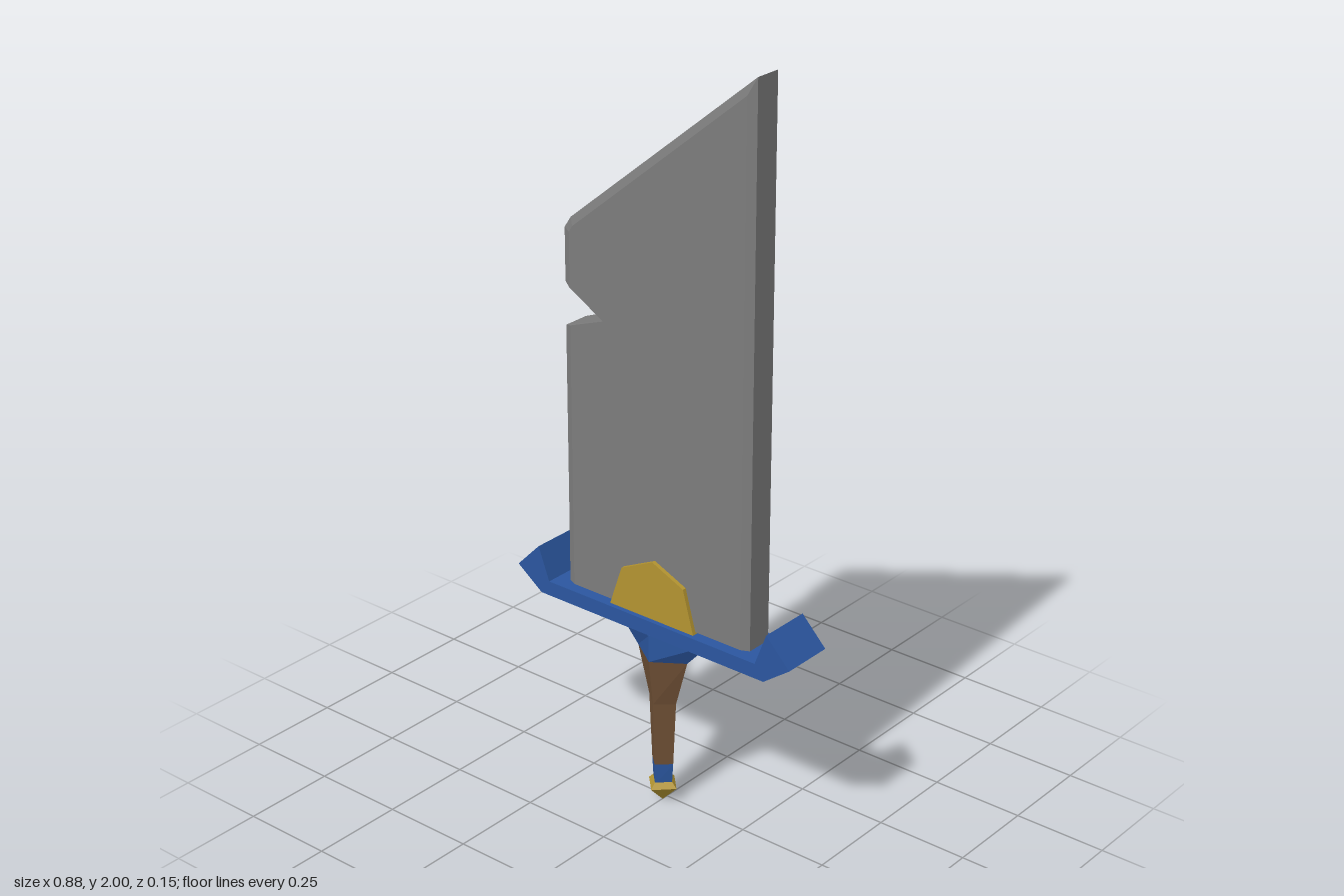
import * as THREE from 'three';

const paint = (name, color) => Object.assign(new THREE.MeshStandardMaterial({ color }), { name });

// Joins matching 2D outlines (counter-clockwise) stacked along z; flat facets, capped ends.
function loft(rings) {
  const pos = [];
  const put = (r, i) => {
    const p = r.points[i % r.points.length];
    pos.push(p[0], p[1], r.h);
  };
  for (let k = 0; k < rings.length - 1; k++) {
    const a = rings[k], b = rings[k + 1];
    for (let i = 0; i < a.points.length; i++) {
      put(a, i); put(a, i + 1); put(b, i + 1);
      put(a, i); put(b, i + 1); put(b, i);
    }
  }
  const cap = (r, flip) => {
    const contour = r.points.map(([x, y]) => new THREE.Vector2(x, y));
    for (const f of THREE.ShapeUtils.triangulateShape(contour, [])) {
      for (const i of flip ? [f[0], f[2], f[1]] : f) put(r, i);
    }
  };
  cap(rings[0], true);
  cap(rings[rings.length - 1], false);
  const g = new THREE.BufferGeometry();
  g.setAttribute('position', new THREE.Float32BufferAttribute(pos, 3));
  g.computeVertexNormals();
  return g;
}

// Straight plate between two depths
const plate = (points, z0, z1) => loft([{ points, h: z0 }, { points, h: z1 }]);

// Four-sided upright column from rows of [y, half width, front z, back z]
function diamondColumn(rows) {
  const rings = rows.map(([h, w, front, back]) => {
    const mid = -0.017;
    return { h, points: [[0, -front], [w, mid], [0, -back], [-w, mid]] };
  });
  return loft(rings).rotateX(-Math.PI / 2);
}

export function createModel() {
  const steel = paint('steel', 0x7c7c7c);
  const blue = paint('blue', 0x2b569f);
  const gold = paint('gold', 0xb39431);
  const brown = paint('brown', 0x6f5035);
  for (const m of [steel, blue, gold, brown]) m.flatShading = true;

  const model = new THREE.Group();
  model.name = 'sword';
  const add = (name, geometry, material) => {
    const mesh = new THREE.Mesh(geometry, material);
    mesh.name = name;
    model.add(mesh);
  };

  // Broad slanted blade with a notch and chamfered rim
  const rim = [[-0.29, 0.55], [0.292, 0.55], [0.292, 2], [-0.27, 1.54],
    [-0.29, 1.51], [-0.29, 1.37], [-0.16, 1.3], [-0.29, 1.255]];
  const face = [[-0.268, 0.55], [0.27, 0.55], [0.27, 1.955], [-0.257, 1.522],
    [-0.268, 1.505], [-0.268, 1.36], [-0.162, 1.3], [-0.268, 1.262]];
  add('blade', loft([
    { points: face, h: -0.046 }, { points: rim, h: -0.036 },
    { points: rim, h: 0.036 }, { points: face, h: 0.046 },
  ]), steel);

  // Gold plate seen on both faces at the blade base
  add('bladeOrnament', plate([[-0.14, 0.54], [0.132, 0.54], [0.098, 0.662],
    [0, 0.705], [-0.1, 0.657]], -0.057, 0.057), gold);

  // Crossguard with upturned ends
  const half = [[0.36, 0.505], [0.438, 0.562], [0.367, 0.635], [0.333, 0.545]];
  const mirrored = half.map(([x, y]) => [-x, y]).reverse();
  add('crossguard', plate([...half, ...mirrored], -0.074, 0.07), blue);

  // Collar, tapering handle, lower band and pommel
  add('collar', diamondColumn([
    [0.43, 0.08, 0.071, -0.064], [0.505, 0.148, 0.072, -0.066]]), blue);
  add('handle', diamondColumn([
    [0.12, 0.035, 0.049, -0.015], [0.3, 0.044, 0.055, -0.025],
    [0.43, 0.08, 0.071, -0.064]]), brown);
  add('handleBand', diamondColumn([
    [0.06, 0.031, 0.048, -0.014], [0.12, 0.035, 0.049, -0.015]]), blue);
  add('pommel', diamondColumn([
    [0.003, 0.001, 0.018, 0.016], [0.05, 0.046, 0.063, -0.03],
    [0.066, 0.031, 0.048, -0.014]]), gold);

  return model;
}
